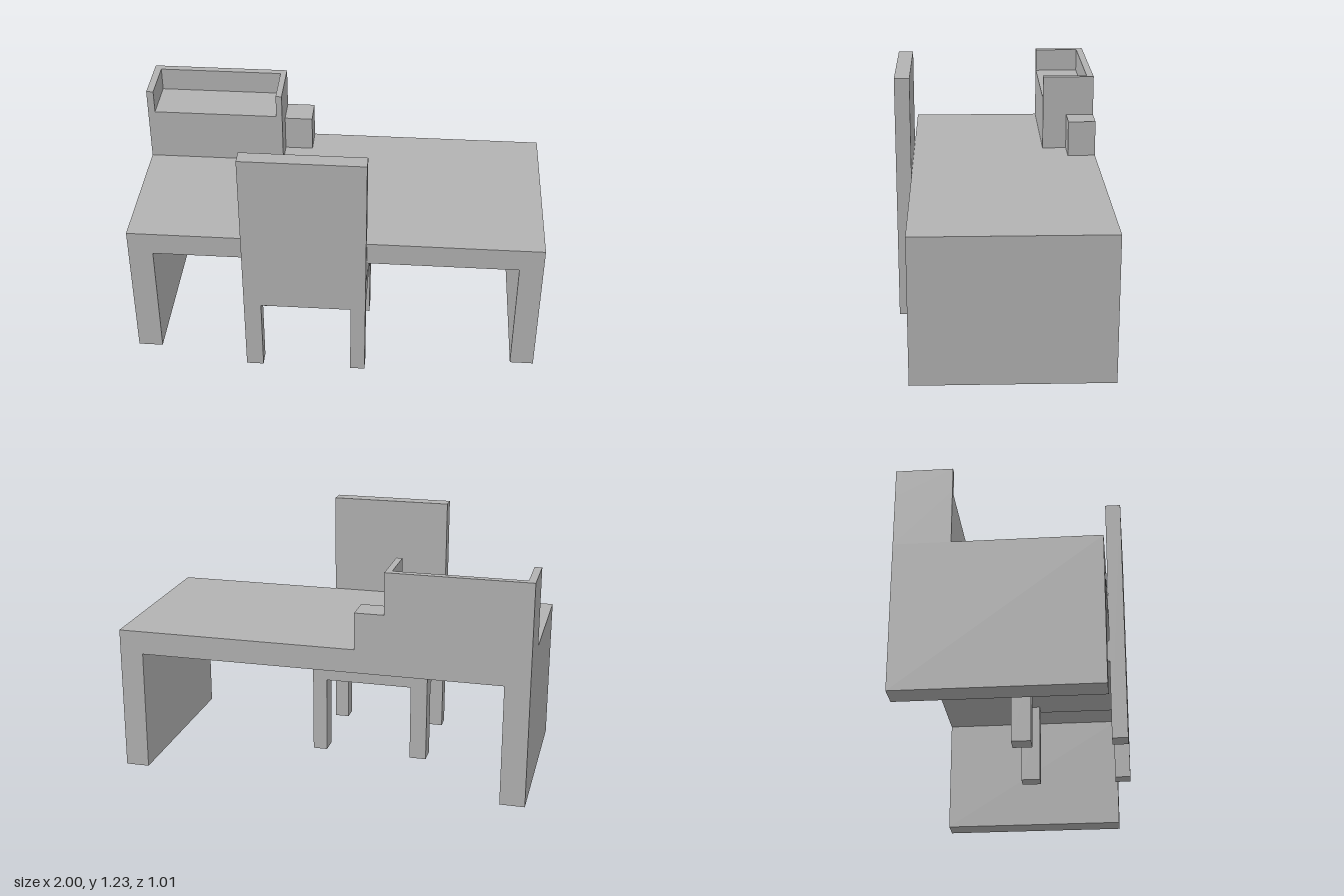
import * as THREE from 'three';

const grey = new THREE.MeshStandardMaterial({ color: 0xb2b2b2 });
grey.name = 'plain grey';

// Flat outline in x/y, extruded between two z positions
function slab(name, points, z0, z1) {
  const shape = new THREE.Shape(points.map(([x, y]) => new THREE.Vector2(x, y)));
  const geometry = new THREE.ExtrudeGeometry(shape, { depth: z1 - z0, bevelEnabled: false });
  geometry.translate(0, 0, z0);
  const mesh = new THREE.Mesh(geometry, grey);
  mesh.name = name;
  return mesh;
}

// Box given by its limits on each axis
function box(name, [x0, x1], [y0, y1], [z0, z1]) {
  const mesh = new THREE.Mesh(new THREE.BoxGeometry(x1 - x0, y1 - y0, z1 - z0), grey);
  mesh.position.set((x0 + x1) / 2, (y0 + y1) / 2, (z0 + z1) / 2);
  mesh.name = name;
  return mesh;
}

function createDesk() {
  const desk = new THREE.Group();
  desk.name = 'desk';
  // Top and both side panels in one outline
  desk.add(slab('deskFrame', [
    [-1, 0.025], [-0.88, 0.025], [-0.88, 0.62], [0.885, 0.62],
    [0.885, 0.025], [1, 0.025], [1, 0.735], [-1, 0.735],
  ], -0.505, 0.432));
  return desk;
}

function createTray() {
  const tray = new THREE.Group();
  tray.name = 'deskOrganizer';
  const floor = 1.0, top = 1.118, back = -0.505, front = -0.243;
  // Solid base with walls on three sides, open to the front
  tray.add(box('trayBase', [-1, -0.315], [0.735, floor], [back, front]));
  tray.add(box('trayBackWall', [-1, -0.315], [floor, top], [back, -0.47]));
  tray.add(box('trayRightWall', [-1, -0.965], [floor, top], [-0.47, front]));
  tray.add(box('trayLeftWall', [-0.345, -0.315], [floor, top], [-0.47, front]));
  // Small block beside the tray
  tray.add(box('sideBlock', [-0.315, -0.175], [0.735, 0.915], [back, -0.365]));
  return tray;
}

function createChair() {
  const chair = new THREE.Group();
  chair.name = 'chair';
  const left = 0.157, right = -0.437, under = 0.385;
  const legs = [[right, -0.353], [0.085, left]];
  // Backrest continuing down into two legs
  chair.add(slab('backrest', [
    [right, 0], [legs[0][1], 0], [legs[0][1], under], [legs[1][0], under],
    [legs[1][0], 0], [left, 0], [left, 1.23], [right, 1.23],
  ], 0.432, 0.506));
  chair.add(box('seat', [right, left], [under, 0.49], [-0.03, 0.432]));
  // Two legs under the far edge of the seat
  for (const x of legs) chair.add(box('seatLeg', x, [0, under], [-0.03, 0.062]));
  return chair;
}

export function createModel() {
  const model = new THREE.Group();
  model.name = 'deskWithChair';
  model.add(createDesk(), createTray(), createChair());
  return model;
}
